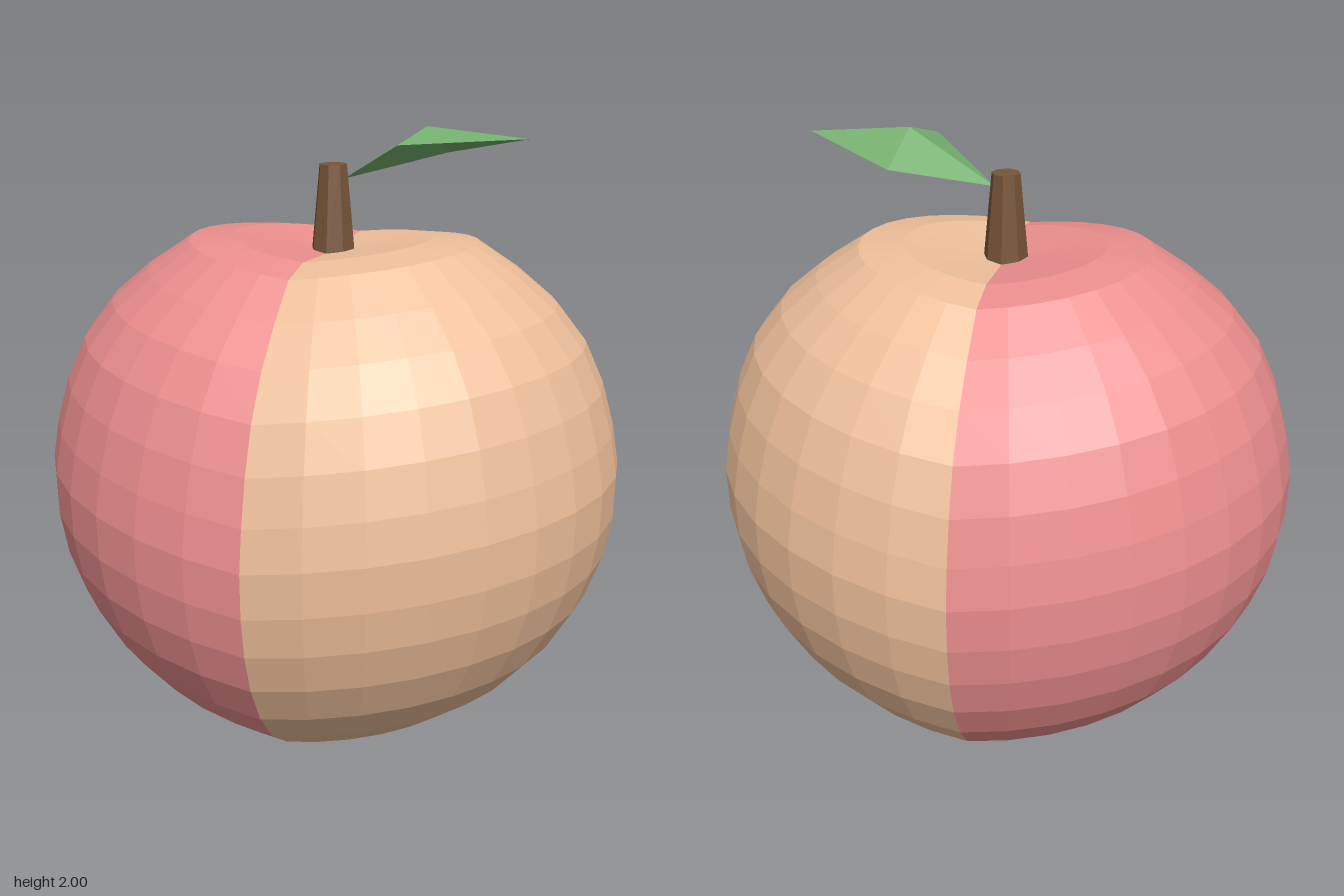
import * as THREE from 'three';

// Seam profile [radius, height], bottom to top
const PROFILE = [
  [0, 0.012], [0.14, 0.005], [0.31, 0.03], [0.47, 0.1], [0.6, 0.19], [0.7, 0.3],
  [0.775, 0.43], [0.82, 0.56], [0.842, 0.69], [0.845, 0.83], [0.825, 0.96],
  [0.79, 1.1], [0.735, 1.24], [0.65, 1.37], [0.545, 1.48], [0.42, 1.588],
  [0.29, 1.617], [0, 1.6],
];
const WIDEN = 1.1; // the fruit is wider in x than in z
const LIFT = 0.12; // each half rises away from the seam

const paint = (color, side = THREE.FrontSide) =>
  new THREE.MeshStandardMaterial({ color, flatShading: true, side });

function part(name, geometry, material) {
  const mesh = new THREE.Mesh(geometry, material);
  mesh.name = name;
  return mesh;
}

// Half of a lathe, widened and sheared upwards with distance from the seam
function halfFruit(phiStart) {
  const points = PROFILE.map(([r, y]) => new THREE.Vector2(r, y));
  const geometry = new THREE.LatheGeometry(points, 16, phiStart, Math.PI);
  const pos = geometry.attributes.position;
  for (let i = 0; i < pos.count; i++) {
    const x = pos.getX(i) * WIDEN;
    pos.setX(i, x);
    pos.setY(i, pos.getY(i) + LIFT * Math.abs(x));
  }
  geometry.computeVertexNormals();
  return geometry;
}

// Folded leaf: four facets around a raised middle point
function leafGeometry() {
  const middle = [0.3, 2.0, 0];
  const rim = [[0.035, 1.83, 0], [0.245, 1.955, 0.135], [0.615, 1.972, 0], [0.33, 1.905, -0.15]];
  const corners = rim.flatMap((p, i) => [...middle, ...p, ...rim[(i + 1) % rim.length]]);
  const geometry = new THREE.BufferGeometry();
  geometry.setAttribute('position', new THREE.Float32BufferAttribute(corners, 3));
  geometry.computeVertexNormals();
  return geometry;
}

export function createModel() {
  const model = new THREE.Group();
  model.name = 'fruit';

  model.add(part('leftHalf', halfFruit(0), paint(0xeebf9a)));
  model.add(part('rightHalf', halfFruit(Math.PI), paint(0xec8e8e)));

  // Tapered eight-sided stem
  const stem = part('stem', new THREE.CylinderGeometry(0.045, 0.072, 0.285, 8), paint(0x775539));
  stem.position.y = 1.7325;
  model.add(stem);

  model.add(part('leaf', leafGeometry(), paint(0x72ad6c, THREE.DoubleSide)));
  return model;
}
